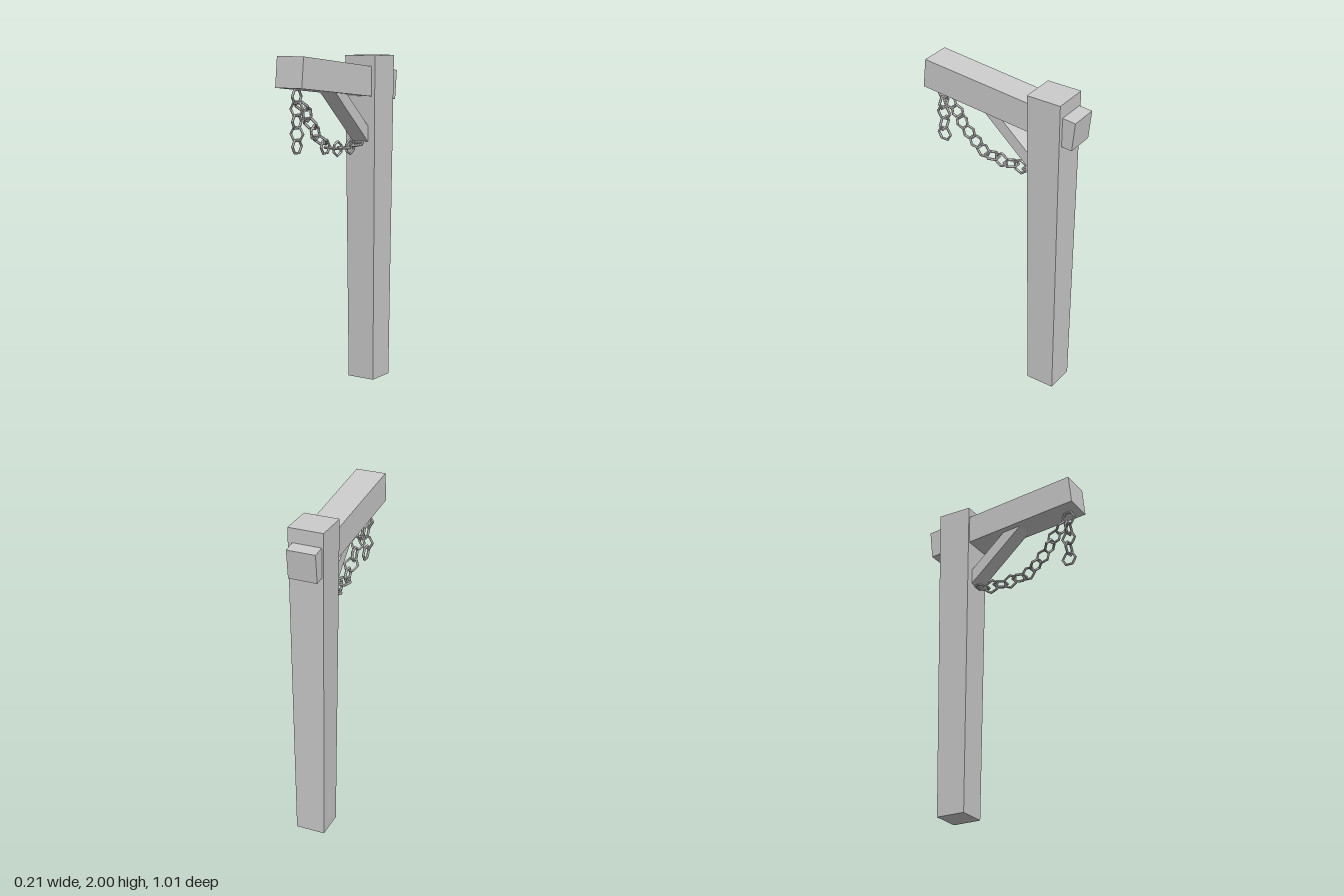
import * as THREE from 'three';

const material = new THREE.MeshStandardMaterial({ color: 0xcccccc, flatShading: true });

function addMesh(parent, name, geometry) {
  const mesh = new THREE.Mesh(geometry, material);
  mesh.name = name;
  parent.add(mesh);
  return mesh;
}

// Box whose vertices are moved by a rule
function shapedBox(w, h, d, rule) {
  const geometry = new THREE.BoxGeometry(w, h, d);
  const pos = geometry.attributes.position;
  const v = new THREE.Vector3();
  for (let i = 0; i < pos.count; i++) {
    rule(v.fromBufferAttribute(pos, i));
    pos.setXYZ(i, v.x, v.y, v.z);
  }
  geometry.computeVertexNormals();
  return geometry;
}

// Chain of six-sided links: points are [z, y], alternate links turn a quarter
function addChain(parent, name, points) {
  const chain = new THREE.Group();
  chain.name = name;
  const link = new THREE.TorusGeometry(0.043, 0.008, 6, 6);
  const side = new THREE.Vector3(1, 0, 0);
  points.forEach(([z, y], i) => {
    const a = points[Math.max(i - 1, 0)];
    const b = points[Math.min(i + 1, points.length - 1)];
    const along = new THREE.Vector3(0, b[1] - a[1], b[0] - a[0]).normalize();
    const normal = i % 2 ? side.clone() : side.clone().cross(along);
    const across = along.clone().cross(normal);
    const mesh = addMesh(chain, 'chainLink', link);
    mesh.quaternion.setFromRotationMatrix(new THREE.Matrix4().makeBasis(across, along, normal));
    mesh.position.set(0, y, z);
  });
  parent.add(chain);
}

export function createModel() {
  const model = new THREE.Group();
  model.name = 'hangingPost';

  // Upright post, slightly wider at the top
  const post = addMesh(model, 'post', shapedBox(0.18, 1.99, 0.18, (v) => {
    if (v.y > 0) { v.x *= 1.18; v.z *= 1.19; }
  }));
  post.position.set(0, 0.995, -0.317);

  // Sloping beam through the post, narrowing a little toward the back
  const beam = addMesh(model, 'beam', shapedBox(0.183, 0.177, 1.0, (v) => {
    if (v.z < 0 && v.x > 0) v.x -= 0.01;
  }));
  beam.position.set(-0.0035, 1.86, 0.002);
  beam.rotation.x = -0.105;

  // Diagonal brace, its ends buried in beam and post
  const profile = new THREE.Shape([
    [0.13, 1.785], [0.16, 1.812], [0.055, 1.812], [-0.26, 1.53], [-0.26, 1.436],
  ].map(([z, y]) => new THREE.Vector2(z, y)));
  const braceGeometry = new THREE.ExtrudeGeometry(profile, { depth: 0.11, bevelEnabled: false });
  braceGeometry.rotateY(-Math.PI / 2);
  braceGeometry.translate(0.055, 0, 0);
  addMesh(model, 'brace', braceGeometry);

  // Loose chain end hanging straight down
  const hanging = [];
  for (let i = 0; i < 4; i++) hanging.push([0.435, 1.705 - i * 0.07]);
  addChain(model, 'hangingChain', hanging);

  // Top link and the chain sagging back to the post
  addChain(model, 'saggingChain', [
    [0.389, 1.72], [0.336, 1.672], [0.305, 1.617], [0.257, 1.561], [0.207, 1.515], [0.156, 1.471],
    [0.093, 1.458], [0.029, 1.45], [-0.04, 1.45], [-0.103, 1.45], [-0.17, 1.463],
  ]);
  addChain(model, 'topLinkTurn', []);
  const topLink = addMesh(model, 'topLink', new THREE.TorusGeometry(0.043, 0.008, 6, 6));
  topLink.rotation.y = Math.PI / 2;
  topLink.position.set(0, 1.775, 0.435);

  return model;
}
